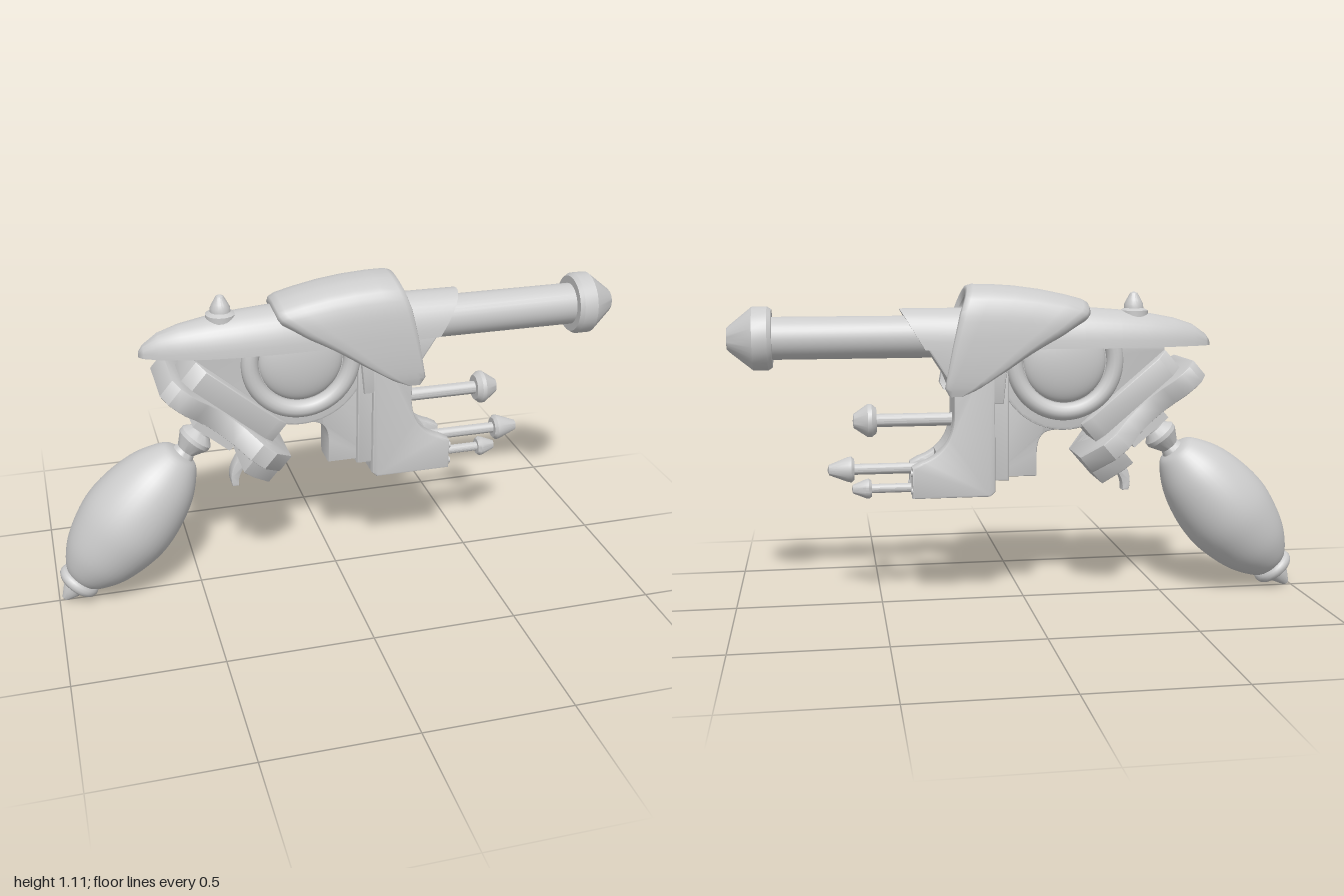
import * as THREE from 'three';
import { toCreasedNormals } from 'three/addons/utils/BufferGeometryUtils.js';

const material = new THREE.MeshStandardMaterial({ color: 0xcccccc });

function part(parent, name, geometry, x = 0, y = 0, z = 0) {
  const mesh = new THREE.Mesh(geometry, material);
  mesh.name = name;
  mesh.position.set(x, y, z);
  parent.add(mesh);
  return mesh;
}

const vectors = (pairs) => pairs.map(([a, b]) => new THREE.Vector2(a, b));

// Turned part from [radius, height] pairs; hard profile corners stay sharp
const turned = (pairs, segments = 32) =>
  toCreasedNormals(new THREE.LatheGeometry(vectors(pairs), segments), 0.5);
const turnedX = (pairs, segments) => turned(pairs, segments).rotateZ(-Math.PI / 2);

// Side profile extruded between two z values with a small bevel
function slab(shape, z0, z1, bevel = 0.008) {
  const g = new THREE.ExtrudeGeometry(shape, {
    depth: z1 - z0 - 2 * bevel, bevelEnabled: bevel > 0, bevelSize: bevel, bevelOffset: -bevel,
    bevelThickness: bevel, bevelSegments: 2, curveSegments: 20,
  });
  return toCreasedNormals(g.translate(0, 0, z0 + bevel), 0.6);
}

// Closed skin through equal-length loops of points, capped at both ends
function loft(loops, crease) {
  const n = loops[0].length, pts = loops.flat(), index = [];
  for (let i = 0; i < loops.length - 1; i++) {
    for (let j = 0; j < n; j++) {
      const a = i * n + j, b = i * n + (j + 1) % n;
      index.push(a, b, a + n, b, b + n, a + n);
    }
  }
  [0, loops.length - 1].forEach((i) => {
    const c = pts.length;
    pts.push(loops[i].reduce((s, p) => s.add(p), new THREE.Vector3()).divideScalar(n));
    for (let j = 0; j < n; j++) {
      const a = i * n + j, b = i * n + (j + 1) % n;
      index.push(...(i === 0 ? [c, b, a] : [c, a, b]));
    }
  });
  // Turn the skin outwards if its enclosed volume is negative
  let volume = 0;
  const cross = new THREE.Vector3();
  for (let k = 0; k < index.length; k += 3) {
    volume += pts[index[k]].dot(cross.crossVectors(pts[index[k + 1]], pts[index[k + 2]]));
  }
  if (volume < 0) index.reverse();
  const g = new THREE.BufferGeometry().setFromPoints(pts);
  g.setIndex(index);
  return toCreasedNormals(g, crease);
}

// Piecewise linear lookup in [key, value] pairs with ascending keys
function lookup(table, k) {
  for (let i = 1; i < table.length; i++) {
    const [k0, v0] = table[i - 1], [k1, v1] = table[i];
    if (k <= k1) return THREE.MathUtils.lerp(v0, v1, Math.max(0, (k - k0) / (k1 - k0)));
  }
  return table[table.length - 1][1];
}

// Domed upper housing: pointed tail, slanted front lip
function housingGeometry() {
  const stations = [[-0.665, 0.008, 0.018], [-0.65, 0.024, 0.04], [-0.6, 0.048, 0.075], [-0.53, 0.069, 0.098],
    [-0.44, 0.086, 0.115], [-0.33, 0.097, 0.128], [-0.2, 0.102, 0.138], [0.1, 0.1, 0.138], [0.345, 0.092, 0.137]];
  return loft(stations.map(([x, w, h], i) => Array.from({ length: 21 }, (_, j) => {
    const a = (j / 20) * Math.PI, y = h * Math.pow(Math.sin(a), 0.85);
    return new THREE.Vector3(x + (i === stations.length - 1 ? y * 0.6 : 0), 0.885 + y, w * Math.cos(a));
  })), 0.8);
}

// Saddle shell: an arch whose front and rear edges depend on height
function saddleGeometry() {
  const rear = [[0.73, 0.225], [0.755, 0.17], [0.83, 0.06], [0.97, -0.125], [1.06, -0.215], [1.1, -0.225]];
  const front = [[0.73, 0.268], [0.76, 0.284], [0.9, 0.258], [1.02, 0.232], [1.1, 0.205]];
  const half = [[0.122, 0.73], [0.13, 0.76], [0.136, 0.83], [0.137, 0.9], [0.135, 0.96], [0.127, 1.02],
    [0.105, 1.07], [0.05, 1.098]].map(([z, y]) => new THREE.Vector3(0, y, z));
  const arch = new THREE.CatmullRomCurve3([...half, new THREE.Vector3(0, 1.103, 0),
    ...half.slice().reverse().map((p) => new THREE.Vector3(0, p.y, -p.z))]);
  // [position along x, depth through the shell]
  const rim = [[0, 0.5], [0.015, 0.15], [0.06, 0], [0.2, 0], [0.4, 0], [0.6, 0], [0.8, 0], [0.94, 0], [0.985, 0.15],
    [1, 0.5], [0.98, 1], [0.7, 1], [0.4, 1], [0.02, 1]];
  return loft(arch.getPoints(48).map((p) => rim.map(([t, d]) => {
    const y0 = Math.min(p.y, 1.1), rise = (y0 - 0.73) / 0.37;
    const x = THREE.MathUtils.lerp(lookup(rear, y0), lookup(front, y0), t);
    const back = Math.pow(Math.max(0, (0.16 - x) / 0.38), 2);
    return new THREE.Vector3(x, p.y - back * 0.058 * rise - d * 0.035 * rise, p.z * (1 - 0.08 * back) * (1 - 0.22 * d));
  })), 1.0);
}

export function createModel() {
  const model = new THREE.Group();
  model.name = 'rayBlaster';

  // Barrel and muzzle
  part(model, 'barrel', turnedX([[0, 0.1], [0.072, 0.1], [0.072, 0.87], [0, 0.87]]), 0, 0.925);
  part(model, 'muzzle', turnedX([[0, 0.852], [0.098, 0.852], [0.107, 0.866], [0.107, 0.915], [0.042, 0.995],
    [0.036, 1], [0.022, 1], [0.018, 0.96], [0, 0.96]]), 0, 0.925);

  // Upper housing, saddle and sight
  part(model, 'upperHousing', housingGeometry());
  part(model, 'saddleCover', saddleGeometry());
  part(model, 'sightSpike', turned([[0, -0.03], [0.05, -0.03], [0.05, 0.004], [0.034, 0.012], [0.033, 0.026],
    [0.026, 0.04], [0.013, 0.064], [0, 0.07]], 20), -0.39, 1.005);

  // Core body below the housing: rounded underside, sloped back resting on the grip plates
  const core = new THREE.Shape(vectors([[0.1, 0.9], [-0.49, 0.9], [-0.49, 0.87], [-0.24, 0.655]]));
  core.absarc(-0.135, 0.835, 0.235, 4.25, Math.PI * 2, false);
  part(model, 'coreBody', slab(core, -0.06, 0.06));
  const neck = new THREE.Shape(vectors([[-0.1, 0.9], [-0.1, 0.6]]));
  neck.quadraticCurveTo(-0.04, 0.6, -0.04, 0.52);
  neck.lineTo(-0.04, 0.44);
  neck.lineTo(0.12, 0.44);
  neck.lineTo(0.12, 0.9);
  part(model, 'rearNeck', slab(neck, -0.055, 0.055));
  const rib = new THREE.Shape(vectors([[0.06, 0.9], [0.06, 0.43], [0.14, 0.43], [0.14, 0.9]]));
  part(model, 'neckRib', slab(rib, -0.072, 0.072));
  const mount = new THREE.Shape(vectors([[0.06, 0.9], [0.08, 0.7], [0.24, 0.7], [0.275, 0.79], [0.345, 0.9]]));
  part(model, 'barrelMount', slab(mount, -0.088, 0.088));

  // Front block: two cheeks around a core that is cut back to leave a slot
  const cheek = new THREE.Shape(vectors([[0.11, 0.9], [0.11, 0.395], [0.128, 0.378], [0.395, 0.378],
    [0.395, 0.485], [0.365, 0.502]]));
  cheek.bezierCurveTo(0.305, 0.52, 0.25, 0.57, 0.25, 0.67);
  cheek.lineTo(0.25, 0.9);
  const blockCore = new THREE.Shape(vectors([[0.11, 0.9], [0.11, 0.395], [0.128, 0.378], [0.31, 0.378], [0.31, 0.535]]));
  blockCore.quadraticCurveTo(0.25, 0.58, 0.25, 0.67);
  blockCore.lineTo(0.25, 0.9);
  part(model, 'blockCore', slab(blockCore, -0.045, 0.045, 0));
  for (const s of [1, -1]) {
    part(model, 'blockCheek', slab(cheek, s > 0 ? 0.034 : -0.09, s > 0 ? 0.09 : -0.034));
    for (const y of [0.405, 0.465]) {
      part(model, 'cheekPin', new THREE.CylinderGeometry(0.012, 0.012, 0.03, 12).rotateZ(Math.PI / 2), 0.384, y, s * 0.076);
    }
    // Half-hidden ring and domed lens on each side, ending inside the housing
    const ring = new THREE.TorusGeometry(0.175, 0.03, 14, 48, Math.PI + 0.56).rotateZ(Math.PI - 0.28);
    part(model, 'sideRing', ring, -0.135, 0.84, s * 0.064);
    const lens = part(model, 'sideLens', new THREE.SphereGeometry(0.145, 36, 20, 0, Math.PI * 2, 1.18, Math.PI - 1.18),
      -0.135, 0.84, s * 0.052);
    lens.scale.z = 0.34;
  }

  // Three emitter rods with turned tips: height, rod radius, rod start, tip start, tip profile
  const emitters = [
    [0.64, 0.023, 0.2, 0.51, [[0, 0], [0.044, 0], [0.057, 0.016], [0.057, 0.03], [0.024, 0.078], [0, 0.08]]],
    [0.472, 0.019, 0.28, 0.588, [[0, 0], [0.036, 0], [0.045, 0.01], [0.043, 0.022], [0.018, 0.086], [0, 0.092]]],
    [0.403, 0.016, 0.28, 0.53, [[0, 0], [0.028, 0], [0.035, 0.01], [0.033, 0.02], [0.015, 0.064], [0, 0.068]]],
  ];
  for (const [y, r, from, tip, profile] of emitters) {
    part(model, 'emitterRod', turnedX([[0, from], [r, from], [r, tip + 0.01], [0, tip + 0.01]], 20), 0, y);
    part(model, 'emitterTip', turnedX(profile, 24), tip, y);
  }

  // Grip assembly, tilted: x runs along the plates, -y towards the pommel
  const grip = new THREE.Group();
  grip.name = 'gripAssembly';
  grip.position.set(-0.57, 0.84, 0);
  grip.rotation.z = -0.707;
  model.add(grip);
  const waisted = (pairs, depth) => slab(new THREE.Shape(vectors(
    [...pairs, ...pairs.map(([u, z]) => [u, -z]).reverse()])), 0, depth, 0.004).rotateX(Math.PI / 2);
  part(grip, 'waistedPlate', waisted([[-0.004, 0.12], [0.025, 0.155], [0.06, 0.162], [0.1, 0.157], [0.14, 0.135],
    [0.19, 0.117], [0.25, 0.115], [0.3, 0.13], [0.365, 0.18], [0.425, 0.18], [0.51, 0.105]], 0.07));
  part(grip, 'plateFoot', waisted([[0.385, 0.155], [0.43, 0.145], [0.51, 0.095]], 0.125));
  part(grip, 'upperPlate', waisted([[0.04, 0.07], [0.08, 0.1], [0.39, 0.1], [0.43, 0.08]], 0.09), 0, 0.08);
  part(grip, 'neckBlock', new THREE.BoxGeometry(0.16, 0.06, 0.11), 0.26, -0.085);
  part(grip, 'collar', turned([[0, -0.24], [0.046, -0.24], [0.034, -0.21], [0.06, -0.165], [0.06, -0.15],
    [0.036, -0.125], [0.036, -0.08]], 24), 0.235);

  // Bulb handle, pommel ring and end tip
  const bulb = new THREE.SplineCurve(vectors([[0.035, -0.822], [0.08, -0.785], [0.126, -0.71], [0.154, -0.62], [0.166, -0.53],
    [0.156, -0.43], [0.127, -0.33], [0.08, -0.25], [0.048, -0.228], [0.001, -0.222]]));
  part(grip, 'bulbHandle', new THREE.LatheGeometry(bulb.getPoints(36), 40), 0.23);
  part(grip, 'pommelRing', new THREE.TorusGeometry(0.054, 0.022, 12, 36).rotateX(Math.PI / 2), 0.23, -0.818);
  part(grip, 'pommelTip', turned([[0, -0.908], [0.012, -0.902], [0.034, -0.862], [0.042, -0.81], [0, -0.81]], 20), 0.23);

  // Trigger hook
  const hook = new THREE.Shape(vectors([[-0.27, 0.52], [-0.3, 0.54]]));
  hook.quadraticCurveTo(-0.4, 0.45, -0.375, 0.375);
  hook.lineTo(-0.352, 0.375);
  hook.quadraticCurveTo(-0.36, 0.44, -0.27, 0.5);
  part(model, 'trigger', slab(hook, -0.025, 0.025, 0.005));

  return model;
}
